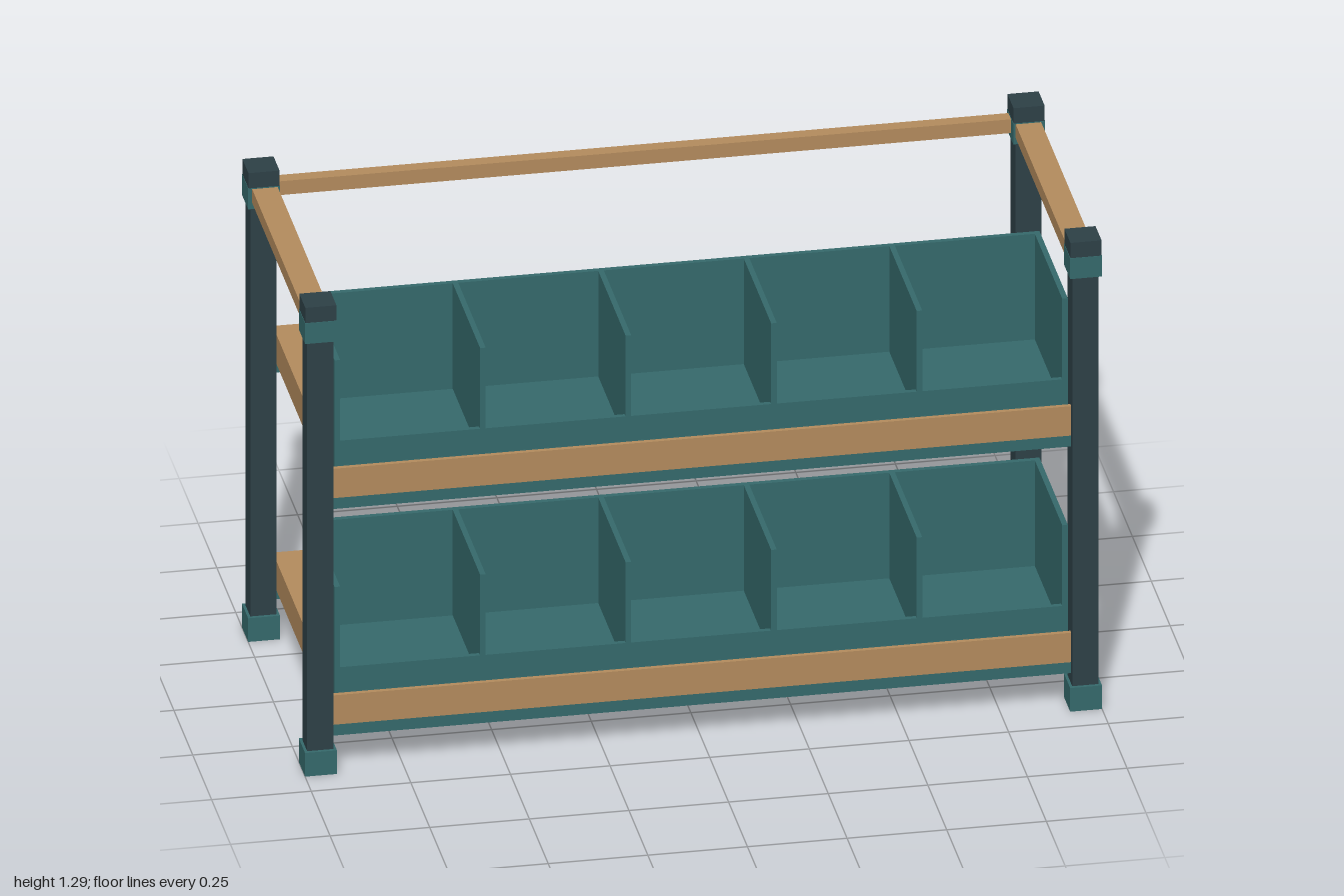
import * as THREE from 'three';

export function createModel() {
  const model = new THREE.Group();
  model.name = 'shelfRack';

  const mat = (name, color) => {
    const m = new THREE.MeshStandardMaterial({ color });
    m.name = name;
    return m;
  };
  const wood = mat('wood', 0xb38b5d);
  const teal = mat('teal', 0x35696b);
  const dark = mat('darkMetal', 0x2d4046);

  // Box given by its min and max on each axis
  function box(parent, name, material, [x0, x1], [y0, y1], [z0, z1]) {
    const mesh = new THREE.Mesh(new THREE.BoxGeometry(x1 - x0, y1 - y0, z1 - z0), material);
    mesh.position.set((x0 + x1) / 2, (y0 + y1) / 2, (z0 + z1) / 2);
    mesh.name = name;
    parent.add(mesh);
  }
  const around = (c, width) => [c - width / 2, c + width / 2];

  // Four corner posts with feet, collars and caps
  for (const sx of [-1, 1]) {
    for (const sz of [-1, 1]) {
      const post = new THREE.Group();
      post.name = 'cornerPost';
      const x = sx * 0.96, z = sz * 0.377;
      box(post, 'foot', teal, around(x, 0.08), [0, 0.065], around(z, 0.083));
      box(post, 'upright', dark, around(x, 0.066), [0.065, 1.193], around(z, 0.064));
      box(post, 'collar', teal, around(x, 0.08), [1.193, 1.25], around(z, 0.083));
      box(post, 'cap', dark, around(x, 0.078), [1.25, 1.292], around(z, 0.08));
      model.add(post);
    }
    // Top side rail
    box(model, 'sideRail', wood, around(sx * 0.958, 0.064), [1.21, 1.248], [-0.336, 0.336]);
  }
  box(model, 'backRail', wood, [-0.921, 0.921], [1.21, 1.248], [-0.4, -0.365]);

  // Two shelves, each with a row of open bins
  const wide = [-0.926, 0.926];
  const wall = 0.014;
  for (const y of [0.127, 0.752]) {
    const shelf = new THREE.Group();
    shelf.name = 'shelf';
    box(shelf, 'backPlank', wood, wide, [y, y + 0.081], [-0.4, 0.008]);
    box(shelf, 'frontPlank', wood, wide, [y, y + 0.064], [0.01, 0.388]);
    box(shelf, 'frontTrim', wood, wide, [y, y + 0.081], [0.388, 0.4]);
    for (const s of [-1, 1]) {
      box(shelf, 'supportRail', teal, wide, [y - 0.03, y], around(s * 0.382, 0.036));
    }

    const bins = new THREE.Group();
    bins.name = 'binRow';
    const base = y + 0.064, top = y + 0.373;
    box(bins, 'binFloor', teal, [-0.92, 0.92], [base, base + 0.018], [0.01, 0.387]);
    box(bins, 'binBack', teal, [-0.92, 0.92], [base + 0.018, top], [0.01, 0.01 + wall]);
    box(bins, 'binLip', teal, [-0.92, 0.92], [base + 0.018, y + 0.15], [0.373, 0.386]);
    for (let i = 0; i <= 5; i++) {
      const x = -0.913 + i * (1.826 / 5);
      box(bins, 'binDivider', teal, around(x, wall), [base + 0.018, top], [0.011, 0.387]);
    }
    shelf.add(bins);
    model.add(shelf);
  }
  return model;
}
